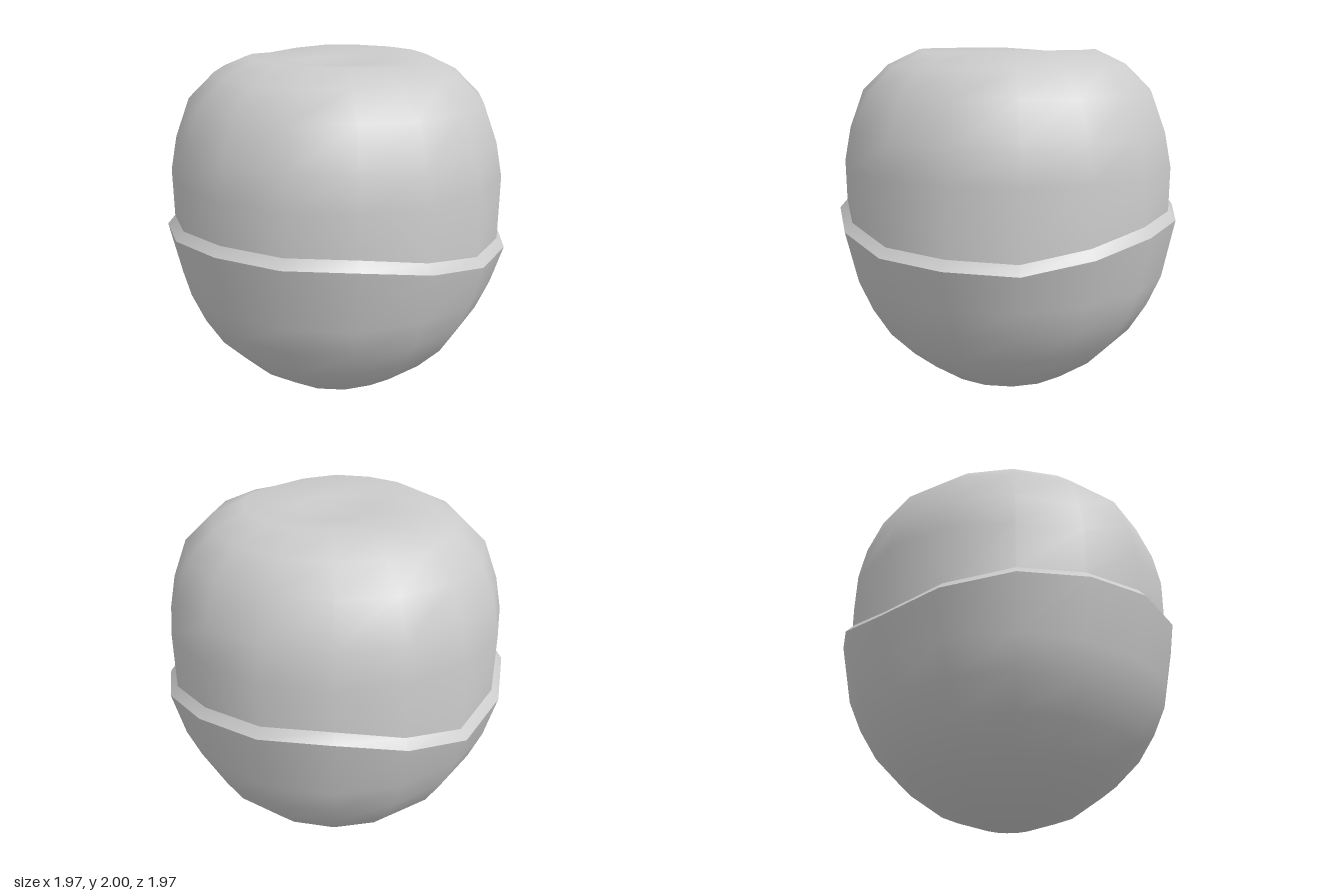
import * as THREE from 'three';

const SIDES = 16;
const material = new THREE.MeshStandardMaterial({ color: 0xcccccc, side: THREE.DoubleSide });

// Heights at eight points around (from +z towards +x), straight in between
function heightAround(list, i) {
  const t = (i / SIDES) * list.length;
  const k = Math.floor(t);
  return THREE.MathUtils.lerp(list[k % list.length], list[(k + 1) % list.length], t - k);
}
const rimHeights = [0.97, 0.945, 1.055, 1.09, 0.93, 1.045, 1.09, 1.09];
const crownHeights = [1.975, 2, 2, 2, 1.975, 2, 2, 2];
const rimY = (i) => heightAround(rimHeights, i);
const crownY = (i) => heightAround(crownHeights, i);

// Skin through rings listed from bottom to top; each is [radius, y], y a number or a rule.
// A ring of radius 0 becomes a single pole point.
function loft(name, rings) {
  const positions = [], index = [], starts = [];
  for (const [r, y] of rings) {
    starts.push(positions.length / 3);
    for (let i = 0; i < (r ? SIDES : 1); i++) {
      const a = (i / SIDES) * Math.PI * 2;
      positions.push(r * Math.sin(a), typeof y === 'function' ? y(i) : y, r * Math.cos(a));
    }
  }
  for (let j = 0; j < rings.length - 1; j++) {
    const at = (row, i) => starts[row] + (rings[row][0] ? i % SIDES : 0);
    for (let i = 0; i < SIDES; i++) {
      const a = at(j, i), b = at(j, i + 1), c = at(j + 1, i + 1), d = at(j + 1, i);
      if (a !== b) index.push(a, b, c);
      if (c !== d) index.push(a, c, d);
    }
  }
  const geometry = new THREE.BufferGeometry();
  geometry.setAttribute('position', new THREE.Float32BufferAttribute(positions, 3));
  geometry.setIndex(index);
  geometry.computeVertexNormals();
  const mesh = new THREE.Mesh(geometry, material);
  mesh.name = name;
  return mesh;
}

export function createModel() {
  const model = new THREE.Group();
  model.name = 'capsule';

  // Rounded lower cup with an uneven edge
  model.add(loft('lowerCup', [
    [0, 0], [0.155, 0.025], [0.4, 0.11], [0.605, 0.255], [0.745, 0.4],
    [0.845, 0.565], [0.92, 0.74], [0.987, rimY],
  ]));

  // Sloping lip between the cup and the dome
  model.add(loft('rim', [[0.987, rimY], [0.943, (i) => rimY(i) + 0.05]]));

  // Upper dome with a shallow dent in the crown
  model.add(loft('upperDome', [
    [0.943, (i) => rimY(i) + 0.05], [0.945, 1.37], [0.907, 1.56],
    [0.825, 1.775], [0.68, 1.915], [0.5, crownY], [0.2, 1.965], [0, 1.95],
  ]));

  return model;
}
